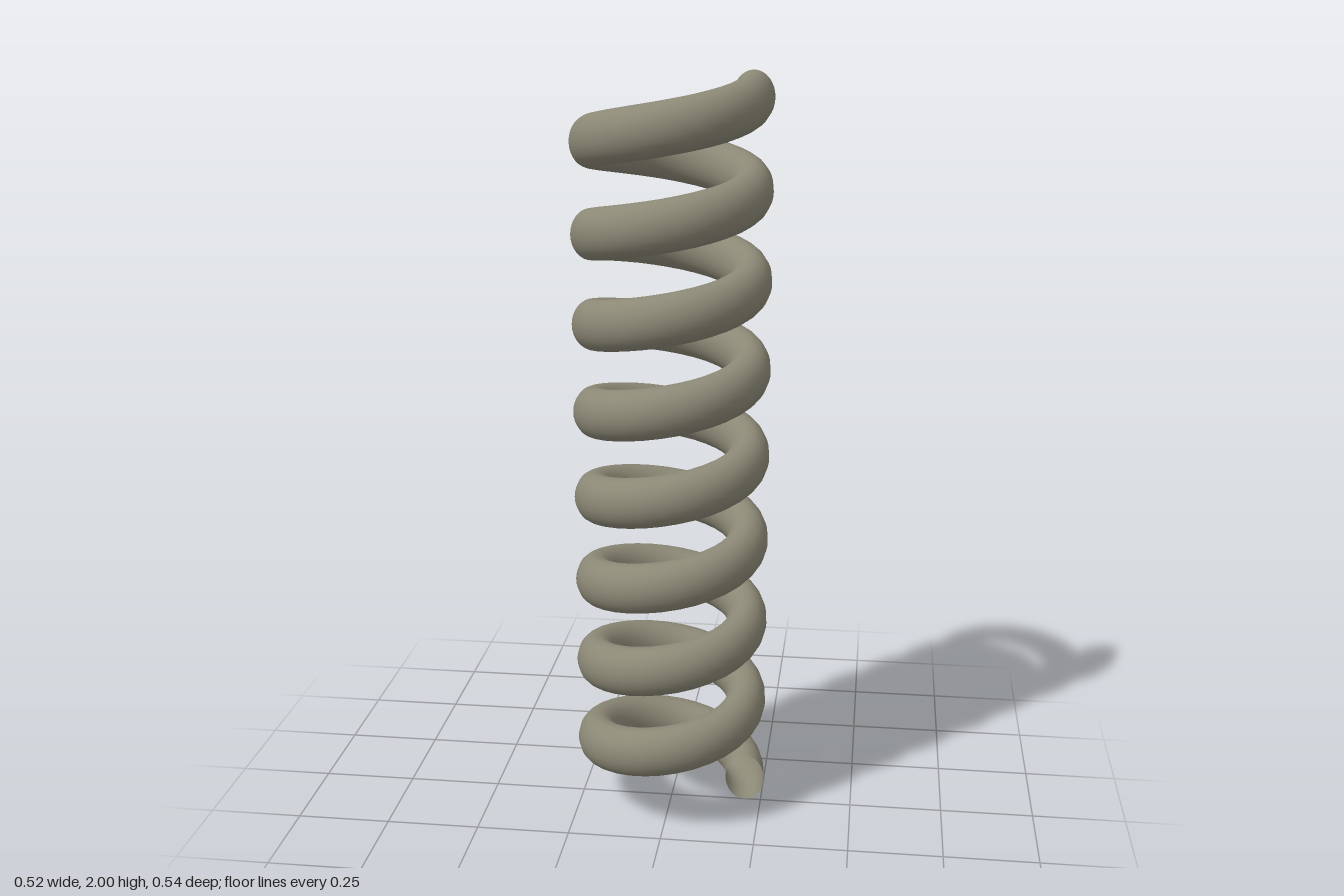
import * as THREE from 'three';
import { ParametricGeometry } from 'three/addons/geometries/ParametricGeometry.js';

const TURNS = 8;
const STEPS_PER_TURN = 32;
const SIDES = 32;
const HALF_HEIGHT = 0.067; // wire section, vertical half axis
const HALF_WIDTH = 0.056;  // wire section, radial half axis
const RADIUS = 0.2145;     // coil centre line
const SQUASH_X = 0.955;    // the coil is slightly narrower across x

export function createModel() {
  const model = new THREE.Group();
  model.name = 'coilSpring';

  const material = new THREE.MeshStandardMaterial({ color: 0x8c8876, side: THREE.DoubleSide });

  // Upright elliptical section swept up a helix: +x, back, -x, front; ends left open
  const rise = 2 - 2 * HALF_HEIGHT;
  const sweep = (u, v, target) => {
    const turn = u * TURNS * Math.PI * 2;
    const around = v * Math.PI * 2;
    const r = RADIUS + HALF_WIDTH * Math.cos(around);
    target.set(
      SQUASH_X * r * Math.cos(turn),
      HALF_HEIGHT + u * rise + HALF_HEIGHT * Math.sin(around),
      -r * Math.sin(turn)
    );
  };

  const coil = new THREE.Mesh(new ParametricGeometry(sweep, TURNS * STEPS_PER_TURN, SIDES), material);
  coil.name = 'coil';
  model.add(coil);
  return model;
}
